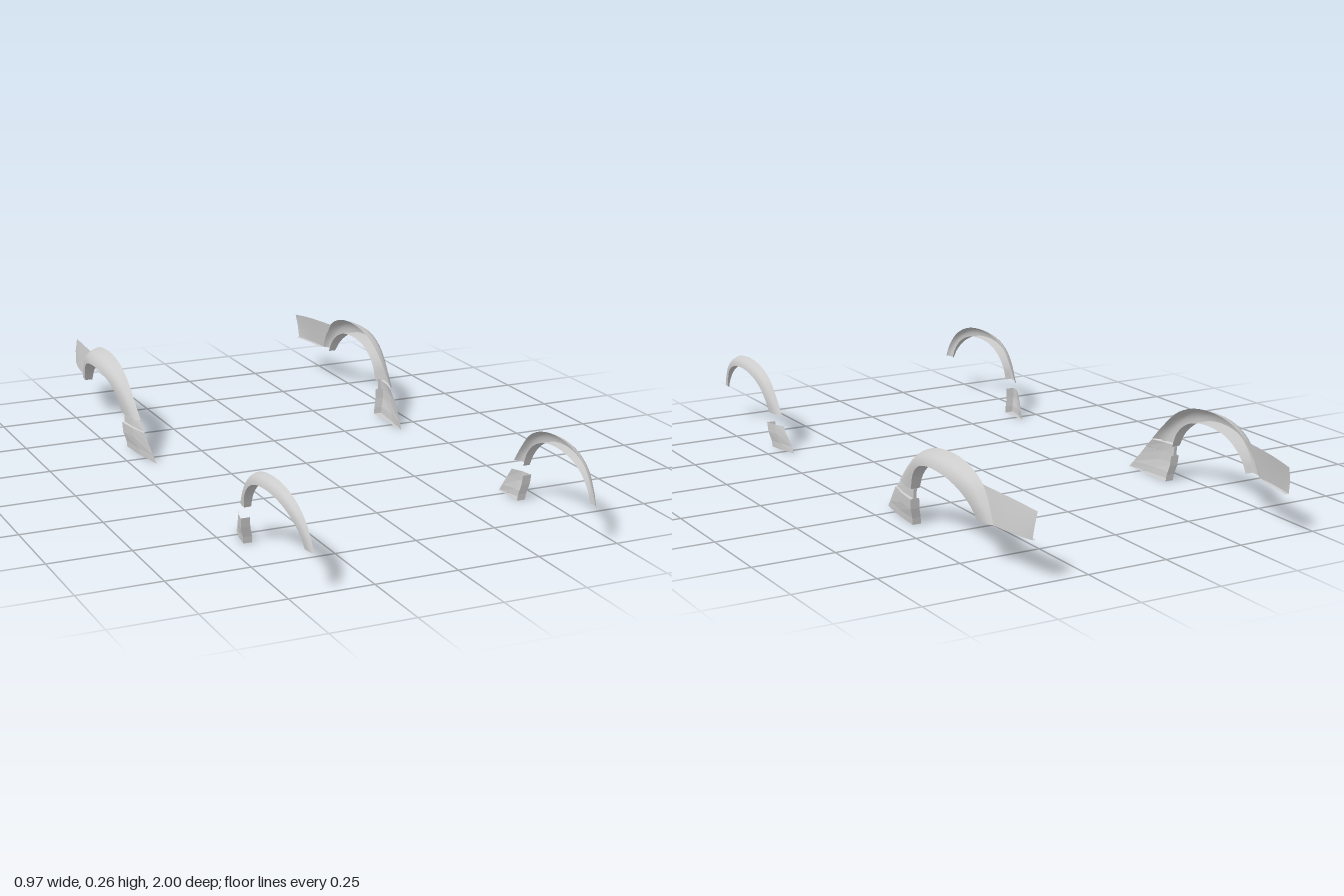
import * as THREE from 'three';

const material = new THREE.MeshStandardMaterial({ color: 0xcccccc, side: THREE.DoubleSide });
const flatMaterial = new THREE.MeshStandardMaterial({ color: 0xcccccc, side: THREE.DoubleSide, flatShading: true });

// Open surface through rows of [x, y, z] points; side mirrors it in x
function sheet(name, rows, side, flat = false) {
  const cols = rows[0].length, pos = [], index = [];
  for (const row of rows) for (const [x, y, z] of row) pos.push(x * side, y, z);
  for (let i = 0; i < rows.length - 1; i++) {
    for (let j = 0; j < cols - 1; j++) {
      const a = i * cols + j, b = a + 1, c = a + cols, d = c + 1;
      if (side > 0) index.push(a, c, b, b, c, d);
      else index.push(a, b, c, b, d, c);
    }
  }
  const geo = new THREE.BufferGeometry();
  geo.setAttribute('position', new THREE.Float32BufferAttribute(pos, 3));
  geo.setIndex(index);
  geo.computeVertexNormals();
  const mesh = new THREE.Mesh(geo, flat ? flatMaterial : material);
  mesh.name = name;
  return mesh;
}

// Smooth rail through [x, y, z] control points
function rail(points, n = 40) {
  const curve = new THREE.CatmullRomCurve3(points.map(p => new THREE.Vector3(...p)));
  return Array.from({ length: n + 1 }, (_, i) => curve.getPoint(i / n).toArray());
}

// Bulged skin between body edge and wheel rim, plus the lip folded inward at the rim
const BULGE = [[0, 0], [0.12, 0.36], [0.25, 0.6], [0.4, 0.79], [0.7, 0.95], [1, 1]];
function archFlare(name, edgePts, rimPts, lipX, side) {
  const group = new THREE.Group();
  group.name = name;
  const edge = rail(edgePts), rim = rail(rimPts);
  const mix = (a, b, t) => a + (b - a) * t;
  const skin = BULGE.map(([t, f]) => edge.map((e, i) =>
    [mix(e[0], rim[i][0], f), mix(e[1], rim[i][1], t), mix(e[2], rim[i][2], t)]));
  group.add(sheet('archSkin', skin, side));
  group.add(sheet('archLip', [rim, rim.map(([, y, z]) => [lipX, y, z])], side));
  return group;
}

// Skirt rows: [y, forward z, forward x, wheel z, wheel x, lip x]
function skirt(name, rows, side) {
  const group = new THREE.Group();
  group.name = name;
  group.add(sheet('skirtSkin', rows.map(([y, zf, xf, zw, xw, xl]) =>
    [[xf, y, zf], [(xf + xw) / 2 + 0.004, y, (zf + zw) / 2], [xw, y, zw], [xl, y, zw]]), side, true));
  const [y, zf, xf, zw, xw, xl] = rows[rows.length - 1];
  group.add(sheet('skirtFloor', [[[xf, y, zf], [xw, y, zw]], [[xl, y, zf], [xl, y, zw]]], side, true));
  return group;
}

export function createModel() {
  const model = new THREE.Group();
  model.name = 'wheelArchFlares';

  for (const side of [1, -1]) {
    const half = new THREE.Group();
    half.name = side > 0 ? 'leftFlares' : 'rightFlares';

    // Front arch
    half.add(archFlare('frontArch',
      [[0.427, 0.115, 1], [0.428, 0.155, 0.98], [0.431, 0.205, 0.935], [0.434, 0.24, 0.865], [0.436, 0.253, 0.77],
        [0.437, 0.241, 0.675], [0.437, 0.21, 0.61], [0.436, 0.16, 0.565], [0.435, 0.112, 0.53]],
      [[0.436, 0.115, 0.962], [0.442, 0.148, 0.945], [0.452, 0.187, 0.905], [0.46, 0.213, 0.845], [0.465, 0.222, 0.77],
        [0.466, 0.213, 0.695], [0.463, 0.187, 0.64], [0.459, 0.15, 0.605], [0.453, 0.112, 0.59]],
      0.432, side));

    // Front skirt, separated from its arch by a gap
    half.add(skirt('frontSkirt', [
      [0.08, 0.515, 0.437, 0.587, 0.462, 0.434],
      [0.05, 0.495, 0.433, 0.583, 0.46, 0.432],
      [0.02, 0.478, 0.427, 0.577, 0.452, 0.425],
      [0, 0.465, 0.425, 0.575, 0.45, 0.423]], side));

    // Rear arch
    half.add(archFlare('rearArch',
      [[0.437, 0.112, -0.29], [0.438, 0.165, -0.345], [0.437, 0.22, -0.415], [0.436, 0.252, -0.495], [0.435, 0.263, -0.59],
        [0.435, 0.252, -0.685], [0.436, 0.218, -0.76], [0.438, 0.165, -0.805], [0.44, 0.12, -0.83]],
      [[0.462, 0.112, -0.4], [0.469, 0.157, -0.422], [0.478, 0.194, -0.465], [0.485, 0.214, -0.525], [0.487, 0.218, -0.59],
        [0.484, 0.209, -0.66], [0.475, 0.184, -0.715], [0.466, 0.153, -0.75], [0.458, 0.12, -0.77]],
      0.434, side));

    // Rear skirt with the recessed neck joining it to the arch
    half.add(skirt('rearSkirt', [
      [0.112, -0.29, 0.437, -0.4, 0.462, 0.434],
      [0.11, -0.292, 0.435, -0.4, 0.453, 0.443],
      [0.082, -0.262, 0.435, -0.397, 0.453, 0.443],
      [0.08, -0.258, 0.437, -0.397, 0.462, 0.434],
      [0.05, -0.232, 0.433, -0.394, 0.46, 0.432],
      [0.02, -0.205, 0.428, -0.388, 0.452, 0.425],
      [0, -0.187, 0.425, -0.386, 0.45, 0.423]], side));

    // Tail panel running back from the rear arch, with a folded lower edge
    const tail = new THREE.Group();
    tail.name = 'rearTailPanel';
    const top = rail([[0.436, 0.216, -0.762], [0.428, 0.212, -0.85], [0.419, 0.207, -0.93], [0.409, 0.2, -1]], 8);
    const middle = rail([[0.439, 0.165, -0.805], [0.434, 0.164, -0.87], [0.426, 0.162, -0.935], [0.416, 0.16, -0.997]], 8);
    const bottom = rail([[0.442, 0.12, -0.83], [0.437, 0.12, -0.885], [0.429, 0.12, -0.94], [0.418, 0.12, -0.99]], 8);
    tail.add(sheet('tailSkin', [top, middle, bottom], side));
    tail.add(sheet('tailLip', [bottom, bottom.map(([x, y, z]) => [x - 0.012, y, z])], side));
    half.add(tail);

    model.add(half);
  }
  return model;
}
